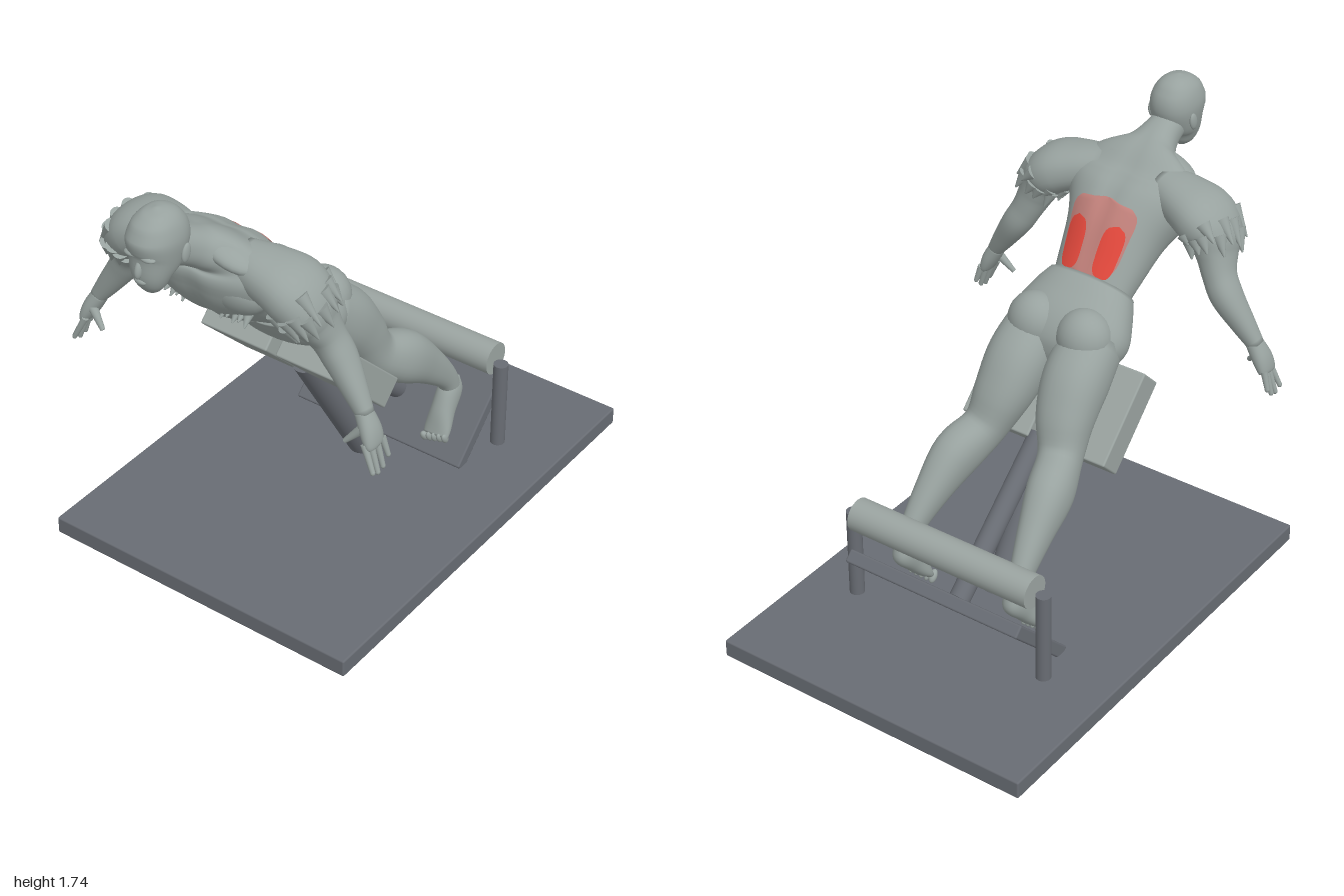
import * as THREE from 'three';
import { RoundedBoxGeometry } from 'three/addons/geometries/RoundedBoxGeometry.js';

const V = (x, y, z) => new THREE.Vector3(x, y, z);
const X = V(1, 0, 0), Z = V(0, 0, 1);

// Smooth tube through sections [x, y, z, a, b]: a = half size along ref, b = half size across it
function surface(secs, ref, groove = 0) {
  const path = new THREE.CatmullRomCurve3(secs.map(s => V(s[0], s[1], s[2])), false, 'catmullrom', 0.5);
  const size = new THREE.CatmullRomCurve3(secs.map(s => V(s[3], s[4], 0)), false, 'catmullrom', 0.5);
  const pw = v => Math.sign(v) * Math.abs(v) ** 0.9;
  return (u, th, off = 0) => {
    const c = path.getPoint(u), t = path.getTangent(u), r = size.getPoint(u);
    const w = ref.clone().addScaledVector(t, -ref.dot(t)).normalize();
    const d = t.clone().cross(w);
    const dent = 1 - groove * Math.exp(-((Math.cos(th) / 0.13) ** 2)) * Math.sin(Math.PI * Math.min(1, u * 1.2));
    return c.addScaledVector(w, (r.x + off) * pw(Math.cos(th))).addScaledVector(d, (r.y * dent + off) * pw(Math.sin(th)));
  };
}

function build(points, idx) {
  const g = new THREE.BufferGeometry().setFromPoints(points);
  g.setIndex(idx);
  g.computeVertexNormals();
  return g;
}

function loft(secs, ref = X, groove = 0, n = 32) {
  const f = surface(secs, ref, groove), rows = (secs.length - 1) * 5, pts = [], idx = [];
  for (let i = 0; i <= rows; i++)
    for (let j = 0; j < n; j++) pts.push(f(i / rows, j / n * Math.PI * 2));
  for (let i = 0; i < rows; i++)
    for (let j = 0; j < n; j++) {
      const a = i * n + j, b = i * n + (j + 1) % n;
      idx.push(a, b, a + n, b, b + n, a + n);
    }
  // End caps
  const e = pts.length, last = secs[secs.length - 1];
  pts.push(V(...secs[0].slice(0, 3)), V(...last.slice(0, 3)));
  for (let j = 0; j < n; j++) {
    const k = (j + 1) % n;
    idx.push(e, k, j, e + 1, rows * n + j, rows * n + k);
  }
  return build(pts, idx);
}

// Thin rounded plate lying on a surface
function patch(f, u0, u1, t0, t1, off) {
  const n = 16, pts = [], idx = [], mid = (t0 + t1) / 2, half = (t1 - t0) / 2;
  for (let i = 0; i <= n; i++)
    for (let j = 0; j <= n; j++) {
      const k = Math.max(0.05, (1 - Math.abs(2 * i / n - 1) ** 4) ** 0.5);
      pts.push(f(u0 + (u1 - u0) * i / n, mid + half * k * (2 * j / n - 1), off));
    }
  for (let i = 0; i < n; i++)
    for (let j = 0; j < n; j++) {
      const a = i * (n + 1) + j, c = a + n + 1;
      idx.push(a, a + 1, c, a + 1, c + 1, c);
    }
  return build(pts, idx);
}

export function createModel() {
  const root = new THREE.Group();
  const mat = (name, color, side = THREE.FrontSide) => {
    const m = new THREE.MeshStandardMaterial({ color, side });
    m.name = name;
    return m;
  };
  const body = mat('body grey', 0x98a29f), pad = mat('pad grey', 0x9aa3a0), metal = mat('frame grey', 0x686c73);
  const red = mat('muscle red', 0xe2483c, THREE.DoubleSide), pale = mat('muscle pale red', 0xc0807a, THREE.DoubleSide);

  const add = (name, geo, m, parent = root) => {
    const mesh = new THREE.Mesh(geo, m);
    mesh.name = name;
    parent.add(mesh);
    return mesh;
  };
  const box = (name, w, h, d, x, y, z, rx, m) => {
    const b = add(name, new RoundedBoxGeometry(w, h, d, 2, 0.007), m);
    b.position.set(x, y, z);
    b.rotation.x = rx;
  };
  const rod = (name, a, b, r, m, parent = root, r2 = r) => {
    const c = add(name, new THREE.CylinderGeometry(r2, r, a.distanceTo(b), 28), m, parent);
    c.position.copy(a).lerp(b, 0.5);
    c.quaternion.setFromUnitVectors(V(0, 1, 0), b.clone().sub(a).normalize());
  };

  // Bench
  box('basePlate', 1.29, 0.07, 1.765, 0, 0.035, -0.1175, 0, metal);
  box('footPlate', 0.75, 0.39, 0.05, 0, 0.2, -0.483, -Math.PI / 4, metal);
  rod('frontColumn', V(0, 0.09, -0.235), V(0, 0.68, 0.115), 0.052, metal);
  rod('rearStrut', V(0, 0.21, -0.46), V(0, 0.645, 0.03), 0.04, metal);
  rod('ankleRoller', V(-0.385, 0.465, -0.54), V(0.385, 0.465, -0.54), 0.063, pad);
  for (const s of [1, -1]) {
    rod('rollerPost', V(s * 0.415, 0.1, -0.53), V(s * 0.415, 0.46, -0.53), 0.028, metal);
    box('thighPad', 0.29, 0.363, 0.117, s * 0.165, 0.742, 0.15, Math.PI / 4, pad);
  }

  // Figure
  const man = new THREE.Group();
  man.name = 'figure';
  root.add(man);
  const blob = (name, x, y, z, rx, ry, rz, tilt = 0, tz = 0) => {
    const m = add(name, new THREE.SphereGeometry(1, 24, 16), body, man);
    m.position.set(x, y, z);
    m.scale.set(rx, ry, rz);
    m.rotation.set(tilt, 0, tz);
  };
  const torso = [
    [0, 1.08, 0.325, 0.15, 0.09], [0, 1.16, 0.40, 0.165, 0.115], [0, 1.265, 0.50, 0.19, 0.148],
    [0, 1.355, 0.585, 0.245, 0.152], [0, 1.42, 0.635, 0.265, 0.125], [0, 1.475, 0.67, 0.2, 0.085],
    [0, 1.505, 0.72, 0.105, 0.073], [0, 1.535, 0.78, 0.07, 0.066], [0, 1.57, 0.87, 0.06, 0.06]];
  add('torso', loft(torso, X, 0.07, 64), body, man);
  add('pelvis', loft([
    [0, 0.87, 0.13, 0.1, 0.05], [0, 0.93, 0.17, 0.2, 0.115], [0, 1.0, 0.22, 0.235, 0.138],
    [0, 1.07, 0.295, 0.205, 0.125], [0, 1.115, 0.352, 0.172, 0.108]], X, 0, 48), body, man);

  // Highlighted lower back muscles
  const skin = surface(torso, X, 0.07);
  add('lowerBackGlow', patch(skin, 0.06, 0.33, 0.85, Math.PI - 0.85, 0.003), pale, man);
  for (const t of [0.92, Math.PI - 1.42])
    add('lowerBackMuscle', patch(skin, 0.065, 0.245, t, t + 0.5, 0.007), red, man);

  // Head
  add('head', loft([
    [0, 1.442, 0.912, 0.02, 0.02], [0, 1.465, 0.917, 0.046, 0.045], [0, 1.515, 0.918, 0.068, 0.07],
    [0, 1.575, 0.896, 0.084, 0.1], [0, 1.635, 0.885, 0.09, 0.114], [0, 1.69, 0.884, 0.075, 0.092],
    [0, 1.722, 0.885, 0.045, 0.054], [0, 1.735, 0.886, 0.006, 0.006]]), body, man);
  blob('nose', 0, 1.55, 0.982, 0.014, 0.034, 0.018, -0.3);
  blob('mouth', 0, 1.502, 0.976, 0.024, 0.012, 0.014);
  for (const s of [1, -1]) {
    blob('brow', s * 0.032, 1.598, 0.975, 0.03, 0.011, 0.018);
    blob('ear', s * 0.089, 1.58, 0.855, 0.01, 0.034, 0.02, -0.25);
  }

  for (const s of [1, -1]) {
    const side = a => a.map(p => [p[0] * s, ...p.slice(1)]);

    // Trunk muscles
    blob('pectoral', s * 0.115, 1.335, 0.65, 0.125, 0.1, 0.07, 0.5);
    blob('glute', s * 0.105, 1.03, 0.155, 0.105, 0.11, 0.1);
    blob('trapezius', s * 0.11, 1.49, 0.66, 0.12, 0.04, 0.075, 0, s * -0.35);
    for (let i = 0; i < 3; i++)
      blob('abdominal', s * 0.038, 1.1 + i * 0.055, 0.475 + i * 0.052, 0.036, 0.034, 0.025, 0.75);

    // Leg and foot
    add('leg', loft(side([
      [0.115, 1.0, 0.2, 0.11, 0.11], [0.122, 0.905, 0.085, 0.118, 0.122], [0.135, 0.8, 0.0, 0.106, 0.105],
      [0.165, 0.68, -0.075, 0.08, 0.084], [0.205, 0.605, -0.195, 0.081, 0.1], [0.225, 0.505, -0.315, 0.06, 0.074],
      [0.24, 0.395, -0.42, 0.04, 0.048], [0.242, 0.32, -0.46, 0.036, 0.04]])), body, man);
    add('foot', loft(side([
      [0.243, 0.365, -0.485, 0.018, 0.02], [0.243, 0.32, -0.46, 0.04, 0.056], [0.245, 0.25, -0.412, 0.045, 0.046],
      [0.248, 0.19, -0.378, 0.053, 0.03], [0.25, 0.16, -0.358, 0.052, 0.018]])), body, man);
    for (let i = 0; i < 5; i++)
      blob('toe', s * (0.207 + i * 0.021), 0.145 + i * 0.004, -0.347 - i * 0.003, i ? 0.011 : 0.015, 0.027, 0.015, 0.6);

    // Arm and hand
    const arm = side([
      [0.12, 1.44, 0.62, 0.08, 0.07], [0.22, 1.42, 0.605, 0.11, 0.083], [0.31, 1.39, 0.592, 0.13, 0.092],
      [0.362, 1.335, 0.583, 0.118, 0.085], [0.388, 1.275, 0.562, 0.088, 0.066], [0.415, 1.21, 0.54, 0.066, 0.057],
      [0.455, 1.14, 0.53, 0.062, 0.055], [0.52, 1.045, 0.54, 0.045, 0.043], [0.572, 0.97, 0.55, 0.031, 0.03]]);
    add('arm', loft(arm, Z), body, man);
    add('palm', loft(side([
      [0.56, 0.985, 0.548, 0.031, 0.03], [0.595, 0.925, 0.555, 0.044, 0.03],
      [0.615, 0.88, 0.56, 0.045, 0.022], [0.62, 0.865, 0.56, 0.035, 0.012]]), Z), body, man);
    for (let i = 0; i < 4; i++) {
      const z = 0.527 + i * 0.023, tip = [0.82, 0.79, 0.782, 0.795][i];
      const end = V(s * 0.645, tip, z + (i - 1) * 0.006);
      rod('finger', V(s * (0.625 - i * 0.008), 0.885, z), end, 0.013, body, man, 0.009);
      blob('fingertip', end.x, end.y, end.z, 0.009, 0.011, 0.009);
    }
    rod('thumb', V(s * 0.585, 0.935, 0.575), V(s * 0.522, 0.865, 0.595), 0.019, body, man, 0.009);

    // Ragged fringe round the upper arm
    const f = surface(arm, Z);
    for (let i = 0; i < 18; i++) {
      const th = i / 18 * Math.PI * 2, u = 0.4 + 0.05 * Math.sin(i * 2.4);
      rod('armShard', f(u - 0.06, th, -0.012), f(u + 0.07, th, 0.016), 0.028, body, man, 0.003);
    }
    // Ragged edge below the chest
    for (let i = 0; i < 5; i++)
      rod('chestShard', V(s * (0.085 + i * 0.022), 1.26, 0.65), V(s * (0.08 + i * 0.025), 1.225 + (i % 2) * 0.015, 0.685), 0.018, body, man, 0.003);
  }
  return root;
}
